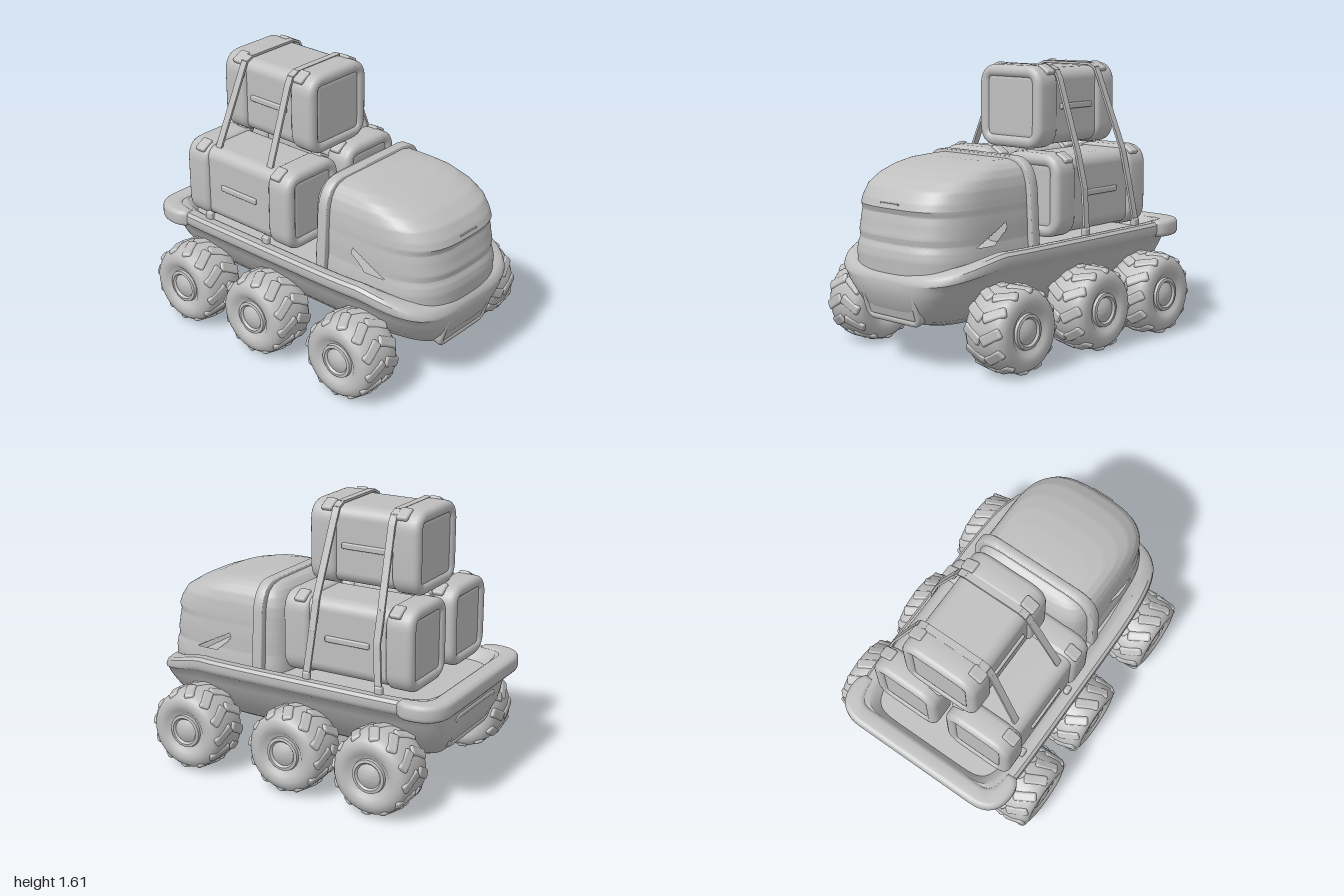
import * as THREE from 'three';
import { mergeGeometries, toCreasedNormals } from 'three/addons/utils/BufferGeometryUtils.js';
import { RoundedBoxGeometry } from 'three/addons/geometries/RoundedBoxGeometry.js';

const grey = new THREE.MeshStandardMaterial({ color: 0xbfbfbf, side: THREE.DoubleSide });
grey.name = 'plain grey';

function add(parent, name, geometry, x = 0, y = 0, z = 0) {
  const mesh = new THREE.Mesh(geometry, grey);
  mesh.name = name;
  mesh.position.set(x, y, z);
  parent.add(mesh);
  return mesh;
}

// Stacks rounded plan outlines of N points; each level is [y, halfWidth, zFront, zBack].
// bend(y, z) gives the final height, isHole(y, z) leaves faces out.
function loft(levels, N, frontPower, backPower, { bend = (y) => y, isHole = () => false }) {
  const pos = [], index = [];
  for (const [y, hw, zf, zb] of levels) {
    for (let j = 0; j < N; j++) {
      const t = (j / N) * Math.PI * 2, c = Math.cos(t), s = Math.sin(t);
      const p = s > 0 ? frontPower : backPower;
      const r = Math.pow(Math.abs(c) ** p + Math.abs(s) ** p, -1 / p);
      const z = (zf + zb) / 2 + ((zf - zb) / 2) * r * s;
      pos.push(hw * r * c, bend(y, z), z);
    }
  }
  const last = levels.length - 1, bottom = pos.length / 3, top = bottom + 1;
  for (const l of [levels[0], levels[last]]) pos.push(0, l[0], (l[2] + l[3]) / 2);
  const face = (a, b, c) => {
    const mean = (k) => (pos[a * 3 + k] + pos[b * 3 + k] + pos[c * 3 + k]) / 3;
    if (!isHole(mean(1), mean(2))) index.push(a, b, c);
  };
  for (let j = 0; j < N; j++) {
    const k = (j + 1) % N;
    index.push(bottom, j, k, top, last * N + k, last * N + j);
    for (let i = 0; i < last; i++) {
      const a = i * N + j, b = i * N + k;
      face(a, a + N, b + N);
      face(a, b + N, b);
    }
  }
  const g = new THREE.BufferGeometry();
  g.setAttribute('position', new THREE.Float32BufferAttribute(pos, 3));
  g.setIndex(index);
  return toCreasedNormals(g, 0.6);
}

// Splits the steps between levels evenly.
function subdivide(levels, n) {
  const out = [];
  for (let i = 0; i < levels.length - 1; i++)
    for (let k = 0; k < n; k++) out.push(levels[i].map((v, m) => v + ((levels[i + 1][m] - v) * k) / n));
  out.push(levels[levels.length - 1]);
  return out;
}

function roundRect(path, w, h, r) {
  const x = w / 2, y = h / 2;
  path.moveTo(-x + r, -y).lineTo(x - r, -y).quadraticCurveTo(x, -y, x, -y + r);
  path.lineTo(x, y - r).quadraticCurveTo(x, y, x - r, y);
  path.lineTo(-x + r, y).quadraticCurveTo(-x, y, -x, y - r);
  path.lineTo(-x, -y + r).quadraticCurveTo(-x, -y, -x + r, -y);
  return path;
}

function bevelled(shape, depth, bevel) {
  const g = new THREE.ExtrudeGeometry(shape, {
    depth: depth - 2 * bevel, bevelThickness: bevel, bevelSize: bevel, bevelSegments: 4, curveSegments: 8,
  });
  g.translate(0, 0, -depth / 2 + bevel);
  return toCreasedNormals(g, 0.7);
}

// Rounded rectangular ring, border wide, centred on its origin.
function frame(w, h, depth, border, bevel, radius) {
  const shape = roundRect(new THREE.Shape(), w - 2 * bevel, h - 2 * bevel, radius);
  const inner = 2 * (border - bevel);
  shape.holes.push(roundRect(new THREE.Path(), w - inner, h - inner, radius * 0.8));
  return bevelled(shape, depth, bevel);
}

// Storage crate with a thick collar round each end, side grips and corner pads.
function crate(name, w, h, l, x, y, z) {
  const g = new THREE.Group();
  g.name = name;
  g.position.set(x, y, z);
  add(g, 'crateBody', new RoundedBoxGeometry(w - 0.045, h - 0.035, l - 0.025, 4, 0.07));
  for (const s of [-1, 1]) {
    add(g, 'crateCollar', frame(w, h, 0.17, 0.075, 0.035, 0.085), 0, 0, s * (l / 2 - 0.085));
    add(g, 'crateGrip', new RoundedBoxGeometry(0.02, 0.035, 0.28, 2, 0.008), s * (w / 2 - 0.018), 0, 0);
    for (const t of [-1, 1]) {
      const pad = new RoundedBoxGeometry(0.09, 0.03, 0.07, 2, 0.012);
      add(g, 'cornerPad', pad, s * (w / 2 - 0.045), h / 2 - 0.022, t * (l / 2 - 0.11)).rotation.z = -s * 0.5;
    }
  }
  return g;
}

// Flat strip following points.
function strap(parent, points) {
  for (let i = 0; i < points.length - 1; i++) {
    const a = new THREE.Vector3(...points[i]), b = new THREE.Vector3(...points[i + 1]);
    const dir = b.clone().sub(a);
    const m = add(parent, 'cargoStrap', new THREE.BoxGeometry(0.014, dir.length() + 0.008, 0.042));
    m.position.copy(a).add(b).multiplyScalar(0.5);
    if (dir.y < 0) dir.negate();
    m.quaternion.setFromUnitVectors(new THREE.Vector3(0, 1, 0), dir.normalize());
  }
}

export function createModel() {
  const model = new THREE.Group();
  model.name = 'sixWheelCargoTruck';

  // Boat-shaped hull, rolled over the rail and down to the cargo bed; the rail dips at the nose
  const dip = (y, z) => y - Math.max(0, (z - 0.58) / 0.4) ** 1.3 * 0.12 * Math.max(0, (y - 0.4) / 0.25);
  add(model, 'hull', loft([
    [0.215, 0.2, 0.74, -0.72], [0.24, 0.25, 0.83, -0.8], [0.27, 0.305, 0.9, -0.85],
    [0.34, 0.38, 0.95, -0.905], [0.42, 0.445, 0.975, -0.935], [0.5, 0.49, 0.985, -0.945],
    [0.56, 0.52, 0.985, -0.95], [0.575, 0.54, 0.985, -0.965], [0.6, 0.55, 0.98, -0.98],
    [0.635, 0.547, 0.97, -0.98], [0.652, 0.53, 0.955, -0.97], [0.652, 0.485, 0.9, -0.89],
    [0.635, 0.46, 0.87, -0.875], [0.59, 0.43, 0.85, -0.85],
  ], 160, 4.4, 9, { bend: dip }));
  add(model, 'keelTab', new RoundedBoxGeometry(0.05, 0.03, 0.12, 2, 0.01), 0.03, 0.212, 0);

  // Wider rear corner rail
  const u = new THREE.Shape();
  u.moveTo(0.53, 0.76).quadraticCurveTo(0.55, 0.78, 0.55, 0.82).quadraticCurveTo(0.55, 0.97, 0.4, 0.97);
  u.lineTo(-0.4, 0.97).quadraticCurveTo(-0.55, 0.97, -0.55, 0.82).quadraticCurveTo(-0.55, 0.78, -0.53, 0.76);
  u.lineTo(-0.51, 0.76).quadraticCurveTo(-0.5, 0.91, -0.4, 0.91);
  u.lineTo(0.4, 0.91).quadraticCurveTo(0.5, 0.91, 0.51, 0.76);
  add(model, 'rearRail', bevelled(u, 0.1, 0.028), 0, 0.612, 0).rotation.x = -Math.PI / 2;

  // Tail panel and front bumper, each a frame round a pad
  for (const [name, w, h, y, z, tilt] of [
    ['tailPanel', 0.54, 0.22, 0.42, -0.885, -0.25], ['frontBumper', 0.43, 0.23, 0.365, 0.91, 0.3],
  ]) {
    add(model, name, new RoundedBoxGeometry(w - 0.05, h - 0.05, 0.08, 3, 0.025), 0, y, z).rotation.x = tilt;
    add(model, name + 'Frame', frame(w, h, 0.09, 0.04, 0.018, 0.05), 0, y, z).rotation.x = tilt;
  }

  // Cab with open side windows
  const window = (y, z) => z > 0.445 && y > 0.675 && y < 0.69 + (0.65 - z) * 0.5 && y > 0.675 + (0.54 - z) * 0.85;
  add(model, 'cab', loft(subdivide([
    [0.46, 0.4, 0.95, 0.12], [0.53, 0.41, 0.965, 0.1], [0.62, 0.41, 0.97, 0.1], [0.66, 0.405, 0.963, 0.1],
    [0.69, 0.4, 0.95, 0.1], [0.73, 0.4, 0.957, 0.1], [0.77, 0.4, 0.948, 0.1], [0.81, 0.398, 0.942, 0.1],
    [0.85, 0.395, 0.933, 0.1], [0.88, 0.395, 0.945, 0.1], [0.92, 0.392, 0.93, 0.1], [0.98, 0.385, 0.89, 0.105],
    [1.03, 0.37, 0.81, 0.12], [1.07, 0.345, 0.7, 0.14], [1.095, 0.31, 0.59, 0.165], [1.11, 0.25, 0.46, 0.2],
  ], 6), 320, 3.1, 6, { isHole: window }));
  add(model, 'visorSlot', new THREE.BoxGeometry(0.14, 0.008, 0.01), 0, 0.905, 0.937);

  // Hoop round the back of the cab
  const hoop = new THREE.Shape();
  hoop.moveTo(-0.43, 0.6).lineTo(-0.41, 0.95).quadraticCurveTo(-0.39, 1.11, -0.27, 1.115);
  hoop.lineTo(0.27, 1.115).quadraticCurveTo(0.39, 1.11, 0.41, 0.95).lineTo(0.43, 0.6);
  hoop.lineTo(0.38, 0.6).lineTo(0.36, 0.95).quadraticCurveTo(0.35, 1.06, 0.25, 1.07);
  hoop.lineTo(-0.25, 1.07).quadraticCurveTo(-0.35, 1.06, -0.36, 0.95).lineTo(-0.38, 0.6);
  add(model, 'cabHoop', bevelled(hoop, 0.065, 0.01), 0, 0, 0.24);

  // Stacked cargo
  model.add(crate('lowerCrateRight', 0.43, 0.48, 0.82, -0.28, 0.88, -0.35));
  model.add(crate('lowerCrateLeft', 0.43, 0.48, 0.82, 0.22, 0.88, -0.35));
  model.add(crate('upperCrate', 0.48, 0.48, 0.69, 0.005, 1.368, -0.345));

  // Straps over the stack, with cleats on the rails
  for (const [zTop, zBase] of [[-0.17, -0.13], [-0.53, -0.59]]) {
    const zMid = (zTop + zBase) / 2;
    strap(model, [
      [-0.42, 1.09, zMid], [-0.24, 1.53, zTop], [-0.215, 1.58, zTop], [-0.17, 1.602, zTop], [0.18, 1.602, zTop],
      [0.225, 1.58, zTop], [0.25, 1.53, zTop], [0.41, 1.1, zMid], [0.455, 0.92, zMid], [0.49, 0.66, zBase],
    ]);
    for (const s of [-1, 1])
      add(model, 'strapCleat', new RoundedBoxGeometry(0.035, 0.05, 0.05, 2, 0.012), s * 0.485, 0.67, zBase);
  }

  // Wheels: tyre and rim profile turned about the axle, plus shallow chevron lugs
  const profile = [
    [0, -0.155], [0.045, -0.155], [0.05, -0.125], [0.11, -0.115], [0.13, -0.135], [0.17, -0.145], [0.207, -0.135],
    [0.228, -0.108], [0.236, -0.05], [0.236, 0.05], [0.228, 0.108], [0.207, 0.135], [0.17, 0.145],
    [0.13, 0.138], [0.112, 0.12], [0.1, 0.118], [0.097, 0.134], [0.08, 0.137], [0.07, 0.125],
    [0.05, 0.135], [0.025, 0.143], [0, 0.145],
  ].map(([r, x]) => new THREE.Vector2(r, x));
  const tyre = toCreasedNormals(new THREE.LatheGeometry(profile, 40).rotateZ(-Math.PI / 2), 0.7);
  const lugs = [];
  for (let k = 0; k < 12; k++) {
    for (const s of [-1, 1]) {
      const lug = new RoundedBoxGeometry(0.14, 0.035, 0.06, 2, 0.015);
      lug.rotateY(s * 0.5).rotateZ(-s * 0.14).translate(s * 0.065, 0.222, 0);
      lugs.push(lug.rotateX((k / 12) * Math.PI * 2));
    }
  }
  const tread = mergeGeometries(lugs);
  for (const [place, z, x] of [['front', 0.58, 0.553], ['middle', -0.083, 0.54], ['rear', -0.64, 0.553]]) {
    for (const s of [-1, 1]) {
      const wheel = new THREE.Group();
      wheel.name = place + (s > 0 ? 'LeftWheel' : 'RightWheel');
      wheel.position.set(s * x, 0.25, z);
      wheel.rotation.y = s > 0 ? 0 : Math.PI;
      add(wheel, 'tyreAndRim', tyre);
      add(wheel, 'tread', tread);
      model.add(wheel);
    }
  }
  return model;
}
